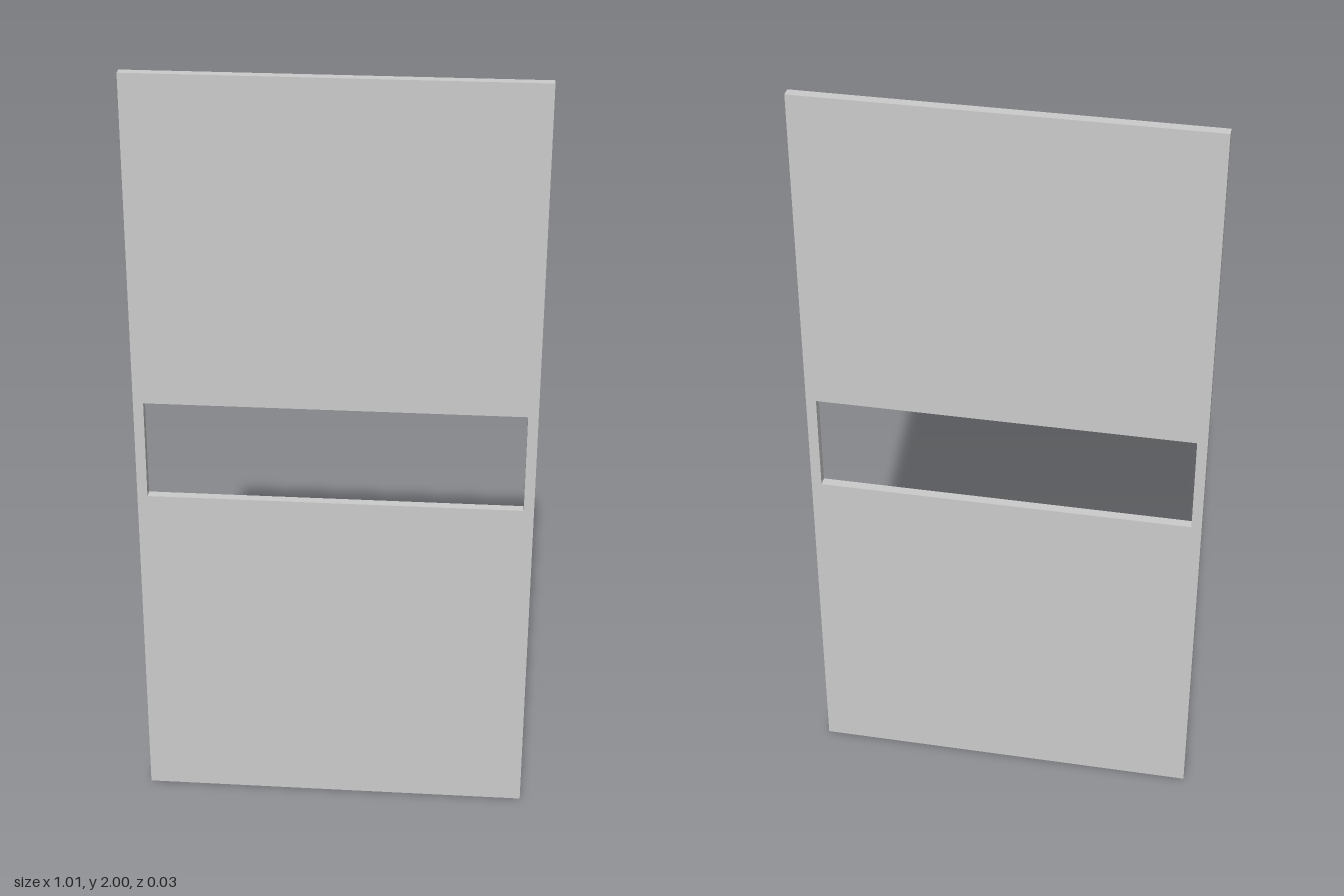
import * as THREE from 'three';

const WIDTH = 1.008, HEIGHT = 2, DEPTH = 0.025;
const SLOT = { halfWidth: 0.478, bottom: 0.89, top: 1.153 };

// Corners of an upright rectangle centred on x = 0
const rectangle = (halfWidth, bottom, top) => [
  new THREE.Vector2(-halfWidth, bottom),
  new THREE.Vector2(halfWidth, bottom),
  new THREE.Vector2(halfWidth, top),
  new THREE.Vector2(-halfWidth, top),
];

export function createModel() {
  const group = new THREE.Group();
  group.name = 'slottedPanel';

  // Thin flat panel with one wide rectangular opening
  const outline = new THREE.Shape(rectangle(WIDTH / 2, 0, HEIGHT));
  outline.holes.push(new THREE.Path(rectangle(SLOT.halfWidth, SLOT.bottom, SLOT.top)));
  const geometry = new THREE.ExtrudeGeometry(outline, { depth: DEPTH, bevelEnabled: false });
  geometry.translate(0, 0, -DEPTH / 2);

  const panel = new THREE.Mesh(geometry, new THREE.MeshStandardMaterial({ color: 0xcccccc }));
  panel.name = 'panel';
  group.add(panel);
  return group;
}
